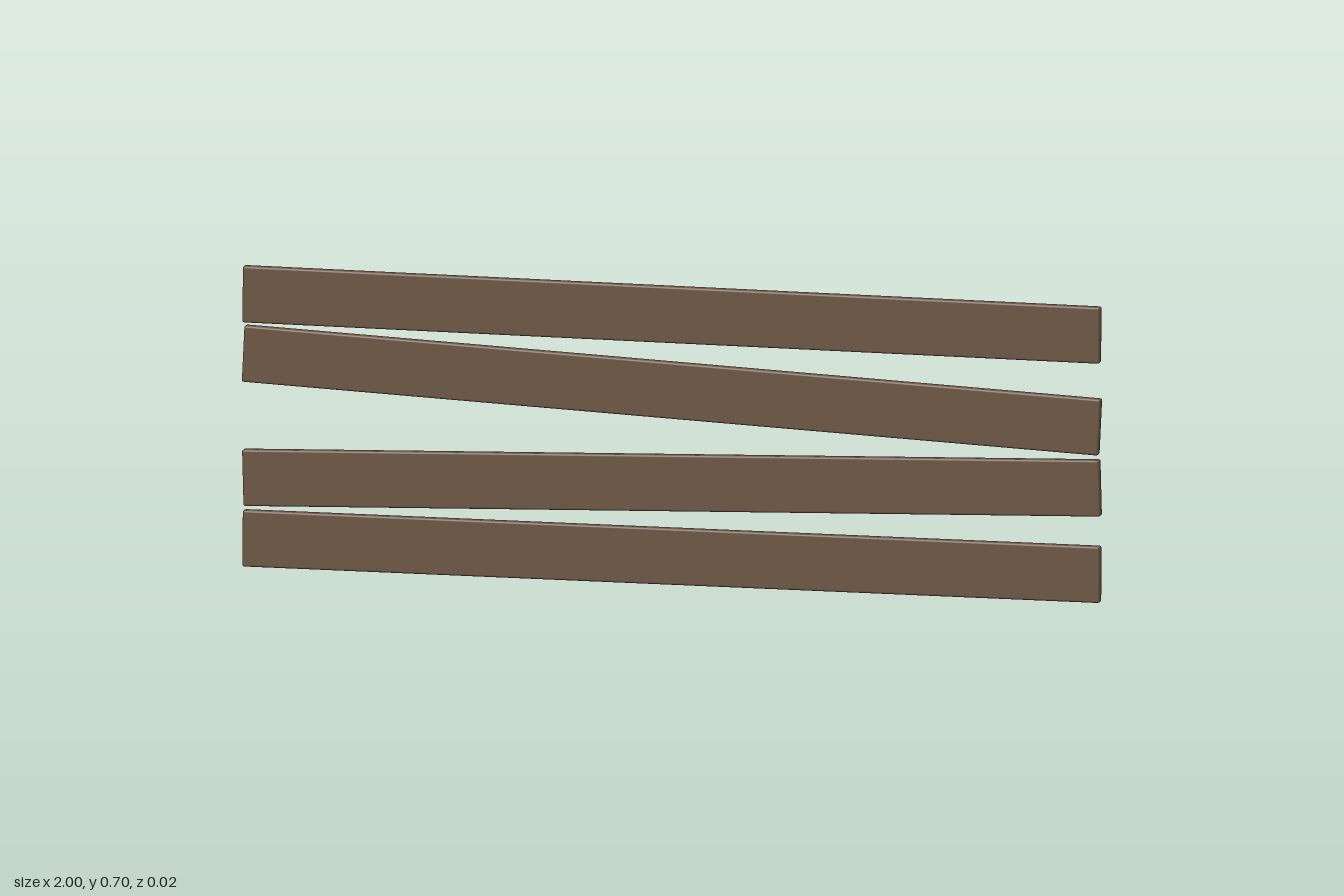
import * as THREE from 'three';
import { RoundedBoxGeometry } from 'three/addons/geometries/RoundedBoxGeometry.js';

const LENGTH = 1.995, HEIGHT = 0.13, DEPTH = 0.024, BEVEL = 0.005;

// Each plank: name, height of its centre, tilt in radians
const PLANKS = [
  ['bottomPlank', 0.0695, -0.0042],
  ['lowerMiddlePlank', 0.239, 0.0258],
  ['upperMiddlePlank', 0.4525, -0.0475],
  ['topPlank', 0.627, -0.0098],
];

export function createModel() {
  const model = new THREE.Group();
  model.name = 'plankBarricade';
  const wood = new THREE.MeshStandardMaterial({ color: 0x6a5441 });
  wood.name = 'brown wood';

  // One board with softened edges, reused for all four planks
  const board = new RoundedBoxGeometry(LENGTH, HEIGHT, DEPTH, 2, BEVEL);
  for (const [name, y, tilt] of PLANKS) {
    const plank = new THREE.Mesh(board, wood);
    plank.name = name;
    plank.position.y = y;
    plank.rotation.z = tilt;
    model.add(plank);
  }
  return model;
}
